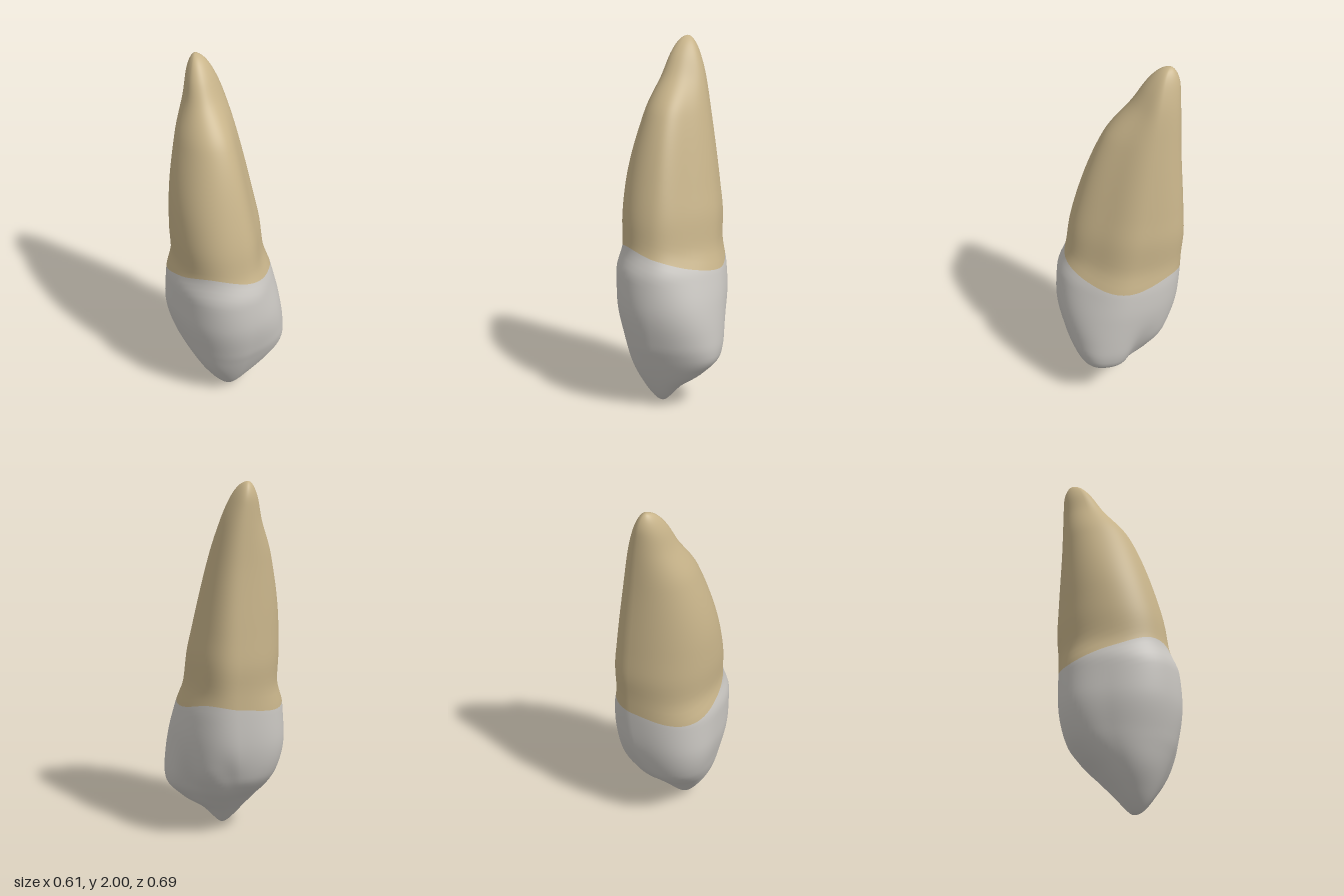
import * as THREE from 'three';

// Silhouette by height: y, minX, maxX, backZ, frontZ
const SILHOUETTE = [
  [0, -0.035, -0.035, 0.09, 0.09],
  [0.03, -0.085, 0.01, 0.046, 0.145],
  [0.1, -0.14, 0.075, -0.015, 0.195],
  [0.2, -0.2, 0.21, -0.11, 0.245],
  [0.3, -0.242, 0.293, -0.215, 0.285],
  [0.38, -0.265, 0.303, -0.265, 0.312],
  [0.6, -0.304, 0.295, -0.315, 0.347],
  [0.76, -0.306, 0.275, -0.326, 0.336],
  [0.9, -0.275, 0.242, -0.332, 0.285],
  [1.05, -0.281, 0.236, -0.343, 0.262],
  [1.2, -0.275, 0.215, -0.338, 0.225],
  [1.6, -0.195, 0.15, -0.322, 0.075],
  [1.8, -0.115, 0.11, -0.32, -0.08],
  [1.9, -0.083, 0.077, -0.318, -0.143],
  [2, -0.004, -0.004, -0.27, -0.27],
];

// Where each side bulges most: y, frontX, backX, z of the -x side, z of the +x side
const BULGES = [
  [0, -0.035, -0.035, 0.09, 0.09],
  [0.2, -0.03, 0.01, 0.07, 0.1],
  [0.4, -0.03, 0.04, 0.01, 0.07],
  [0.9, -0.04, 0.08, 0, -0.04],
  [1.6, -0.04, 0.04, -0.12, -0.16],
  [2, -0.004, -0.004, -0.27, -0.27],
];

// Extra fullness of the quadrants: y, then +x+z, +x-z, -x-z, -x+z
const FULLNESS = [
  [0, 0, 0, 0, 0],
  [0.28, 0.1, -0.12, 0.1, 0],
  [0.45, 0.05, 0, 0.15, 0.01],
  [0.9, -0.11, 0.05, 0.05, 0.03],
  [1.3, -0.13, 0.06, 0.02, 0.02],
  [2, 0, 0, 0, 0],
];

// Height of the gum line every 45 degrees, from the front towards +x
const GUM_LINE = [0.87, 0.805, 0.775, 0.83, 0.81, 0.765, 0.84, 0.91];

const AROUND = 96, CROWN_ROWS = 44, ROOT_ROWS = 50;
const bell = (d, width) => Math.exp(-((d / width) ** 2));

// Interpolating over this angle instead of the height rounds off both tips
const arc = (y) => Math.acos(THREE.MathUtils.clamp(1 - y, -1, 1));

// Smooth, overshoot-free interpolation of a table's columns at height y
function sample(table, y) {
  const last = table.length - 1;
  let i = 0;
  while (i < last - 1 && y > table[i + 1][0]) i++;
  const step = (n) => arc(table[n + 1][0]) - arc(table[n][0]);
  const secant = (n, k) => (table[n + 1][k] - table[n][k]) / step(n);
  const slope = (n, k) => {
    if (n === 0 || n === last) return secant(i, k);
    const l = secant(n - 1, k), r = secant(n, k);
    return l * r > 0 ? 2 * l * r / (l + r) : 0;
  };
  const h = step(i), t = (arc(y) - arc(table[i][0])) / h, t2 = t * t, t3 = t2 * t;
  return [1, 2, 3, 4].map((k) =>
    table[i][k] * (2 * t3 - 3 * t2 + 1) + table[i + 1][k] * (3 * t2 - 2 * t3)
    + h * slope(i, k) * (t3 - 2 * t2 + t) + h * slope(i + 1, k) * (t3 - t2));
}

function gumLine(angle) {
  const u = angle / (Math.PI / 4), i = Math.floor(u), t = u - i;
  const [a, b, c, d] = [7, 8, 9, 10].map((n) => GUM_LINE[(i + n) % 8]);
  return b + 0.5 * t * (c - a + t * (2 * a - 5 * b + 4 * c - d + t * (3 * (b - c) + d - a)));
}

// Point on the tooth surface: four elliptical quadrants meeting at the extremes
function surfacePoint(angle, y) {
  const [minX, maxX, backZ, frontZ] = sample(SILHOUETTE, y);
  const [frontX, backX, leftZ, rightZ] = sample(BULGES, y);
  const s = Math.sin(angle), c = Math.cos(angle);
  const quadrant = Math.floor(angle / (Math.PI / 2));
  const swell = 1 + sample(FULLNESS, y)[quadrant] * Math.sin(2 * angle) ** 2;
  const midX = c > 0 ? frontX : backX, midZ = s > 0 ? rightZ : leftZ;
  const x = midX + s * swell * (s > 0 ? maxX - midX : midX - minX);
  const z = midZ + c * swell * (c > 0 ? frontZ - midZ : midZ - backZ);
  // Two hollows beside a central ridge on the inner face, which looks towards +x-z
  const across = (x + z) * Math.SQRT1_2;
  const facing = Math.max(0, (s - c) * Math.SQRT1_2);
  const hollows = bell(across - 0.14, 0.07) + bell(across + 0.13, 0.07);
  const dent = 0.025 * hollows * bell(y - 0.36, 0.14) * facing ** 2;
  return [x - dent, y, z + dent];
}

export function createModel() {
  const rows = CROWN_ROWS + ROOT_ROWS, positions = [];
  for (let i = 0; i <= rows; i++) {
    for (let j = 0; j < AROUND; j++) {
      const angle = (j / AROUND) * Math.PI * 2, gum = gumLine(angle);
      const y = i <= CROWN_ROWS
        ? gum * (1 - Math.cos((i / CROWN_ROWS) * Math.PI / 2))
        : gum + (2 - gum) * Math.sin(((i - CROWN_ROWS) / ROOT_ROWS) * Math.PI / 2);
      positions.push(...surfacePoint(angle, y));
    }
  }
  const band = (from, to) => {
    const index = [];
    for (let i = from; i < to; i++) {
      for (let j = 0; j < AROUND; j++) {
        const a = i * AROUND + j, b = i * AROUND + (j + 1) % AROUND;
        index.push(a, b, b + AROUND, a, b + AROUND, a + AROUND);
      }
    }
    return index;
  };

  // Normals are computed on the whole tooth so the two parts join smoothly
  const whole = new THREE.BufferGeometry();
  whole.setAttribute('position', new THREE.Float32BufferAttribute(positions, 3));
  whole.setIndex(band(0, rows));
  whole.computeVertexNormals();

  const enamel = new THREE.MeshStandardMaterial({ color: 0xc9c6c1 });
  enamel.name = 'enamel';
  const dentine = new THREE.MeshStandardMaterial({ color: 0xc8b48a });
  dentine.name = 'dentine';

  const group = new THREE.Group();
  group.name = 'tooth';
  const addPart = (name, from, to, material) => {
    const geometry = whole.clone();
    geometry.setIndex(band(from, to));
    const mesh = new THREE.Mesh(geometry, material);
    mesh.name = name;
    group.add(mesh);
  };
  addPart('crown', 0, CROWN_ROWS, enamel);
  addPart('root', CROWN_ROWS, rows, dentine);
  return group;
}
